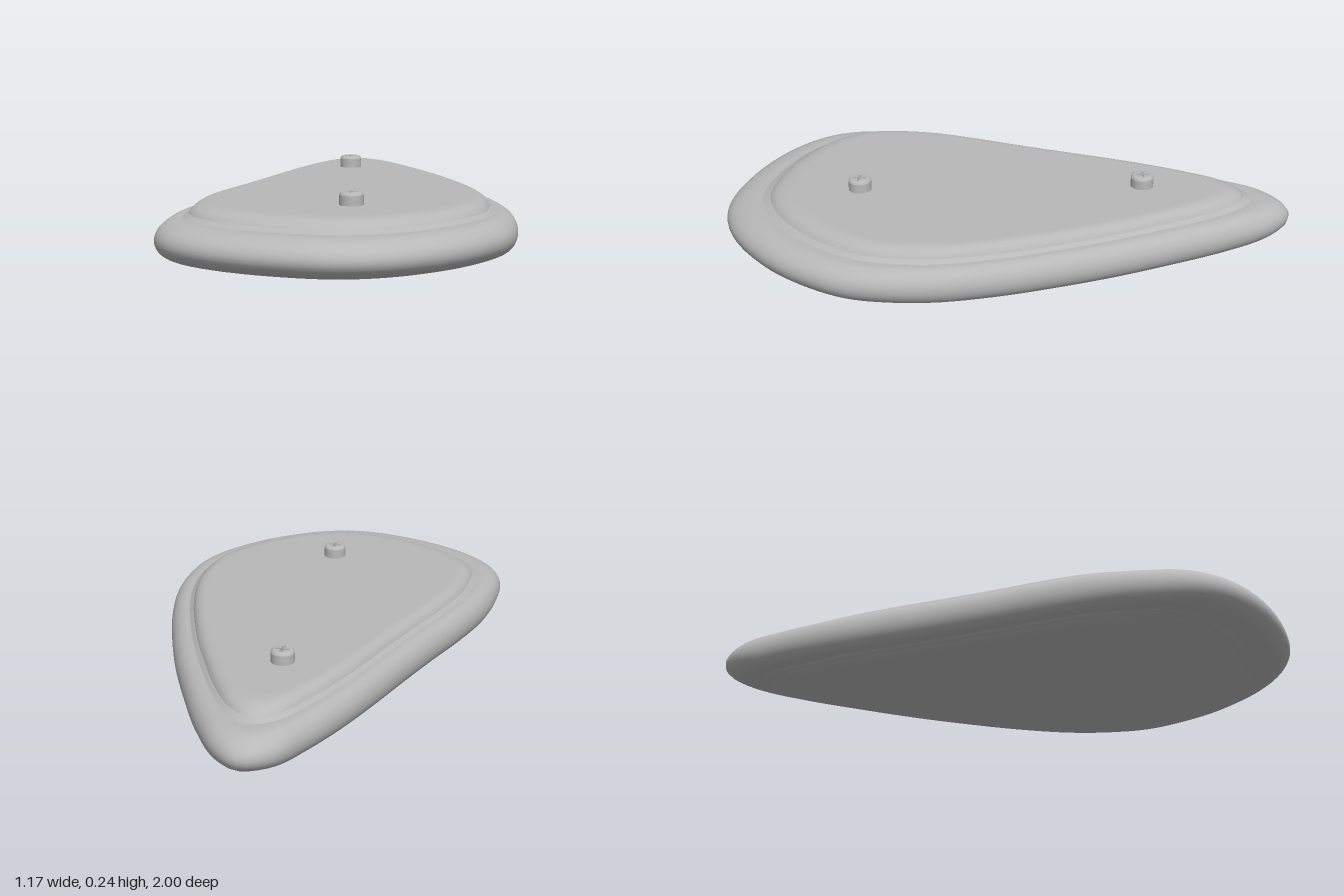
import * as THREE from 'three';

const grey = new THREE.MeshStandardMaterial({ color: 0xb8b8b8 });
grey.name = 'plain grey';

// Lopsided teardrop outline as (x, z), clockwise from the tip
const outline = new THREE.CatmullRomCurve3([
  [-0.05, -1], [0.04, -0.95], [0.15, -0.8], [0.26, -0.6], [0.36, -0.4], [0.445, -0.2],
  [0.518, 0], [0.57, 0.2], [0.583, 0.36], [0.565, 0.52], [0.5, 0.66], [0.385, 0.81],
  [0.2, 0.95], [0.03, 0.997], [-0.18, 0.965], [-0.39, 0.875], [-0.52, 0.765], [-0.575, 0.66],
  [-0.585, 0.54], [-0.573, 0.38], [-0.53, 0.2], [-0.468, 0], [-0.41, -0.2], [-0.355, -0.4],
  [-0.295, -0.6], [-0.22, -0.8], [-0.145, -0.945],
].map(([x, z]) => new THREE.Vector3(x, 0, z)), true, 'centripetal').getSpacedPoints(160).slice(0, -1);

const centreZ = 0.02;

// Skin stacked copies of the outline; profile is a list of [scale, height]
function skin(name, profile) {
  const n = outline.length, pos = [], index = [];
  for (const [s, y] of profile)
    for (const p of outline) pos.push(p.x * s, y, centreZ + (p.z - centreZ) * s);
  for (let i = 0; i < profile.length - 1; i++) {
    for (let j = 0; j < n; j++) {
      const k = (j + 1) % n;
      const a = i * n + j, b = i * n + k, c = a + n, d = b + n;
      index.push(a, c, b, b, c, d);
    }
  }
  const geo = new THREE.BufferGeometry();
  geo.setAttribute('position', new THREE.Float32BufferAttribute(pos, 3));
  geo.setIndex(index);
  geo.computeVertexNormals();
  const mesh = new THREE.Mesh(geo, grey);
  mesh.name = name;
  return mesh;
}

// Screw stud: bevelled cylinder with a cross recess in its top
function stud(x, z) {
  const g = new THREE.Group();
  g.name = 'screwStud';
  const side = new THREE.LatheGeometry(
    [[0.04, 0], [0.04, 0.032], [0.04, 0.033], [0.037, 0.039], [0.033, 0.042], [0.03, 0.043]]
      .map(([r, y]) => new THREE.Vector2(r, y)), 32);
  g.add(new THREE.Mesh(side, grey));

  const top = new THREE.Shape().absarc(0, 0, 0.03, 0, Math.PI * 2);
  const w = 0.006, l = 0.023;
  const cross = [[w, w], [w, l], [-w, l], [-w, w], [-l, w], [-l, -w],
    [-w, -w], [-w, -l], [w, -l], [w, -w], [l, -w], [l, w]];
  top.holes.push(new THREE.Path(cross.map(([a, b]) => new THREE.Vector2(a, b))));
  const cap = new THREE.ExtrudeGeometry(top, { depth: 0.02, bevelEnabled: false, curveSegments: 32 });
  cap.rotateX(-Math.PI / 2).translate(0, 0.023, 0);
  g.add(new THREE.Mesh(cap, grey));

  const floor = new THREE.CircleGeometry(0.03, 24).rotateX(-Math.PI / 2).translate(0, 0.025, 0);
  g.add(new THREE.Mesh(floor, grey));
  ['studSide', 'studCap', 'recessFloor'].forEach((name, i) => { g.children[i].name = name; });
  g.position.set(x, 0.195, z);
  return g;
}

export function createModel() {
  const model = new THREE.Group();
  model.name = 'teardropPad';

  // Rounded outer rim
  const rim = [[0.84, 0.025]];
  for (let i = 0; i <= 20; i++) {
    const a = -Math.PI / 2 + (Math.PI * i) / 20;
    rim.push([0.89 + 0.11 * Math.cos(a), 0.089 + 0.064 * Math.sin(a)]);
  }
  rim.push([0.84, 0.153]);
  model.add(skin('rim', rim));

  // Raised panel with a small step and a soft shoulder
  model.add(skin('topStep', [[0.87, 0.152], [0.858, 0.156], [0.848, 0.161], [0.838, 0.164]]));
  model.add(skin('topPanel', [[0.838, 0.164], [0.828, 0.175], [0.812, 0.184], [0.79, 0.191],
    [0.765, 0.1945], [0.74, 0.195], [0.7, 0.195], [0.35, 0.195], [0.001, 0.195]]));

  // Shallower matching panel underneath
  model.add(skin('bottomPanel', [[0.001, 0], [0.35, 0], [0.7, 0], [0.74, 0], [0.765, 0.001],
    [0.79, 0.004], [0.812, 0.009], [0.83, 0.015]]));
  model.add(skin('bottomStep', [[0.83, 0.015], [0.848, 0.018], [0.858, 0.021], [0.87, 0.026]]));

  model.add(stud(-0.043, -0.475), stud(0.043, 0.517));
  return model;
}
